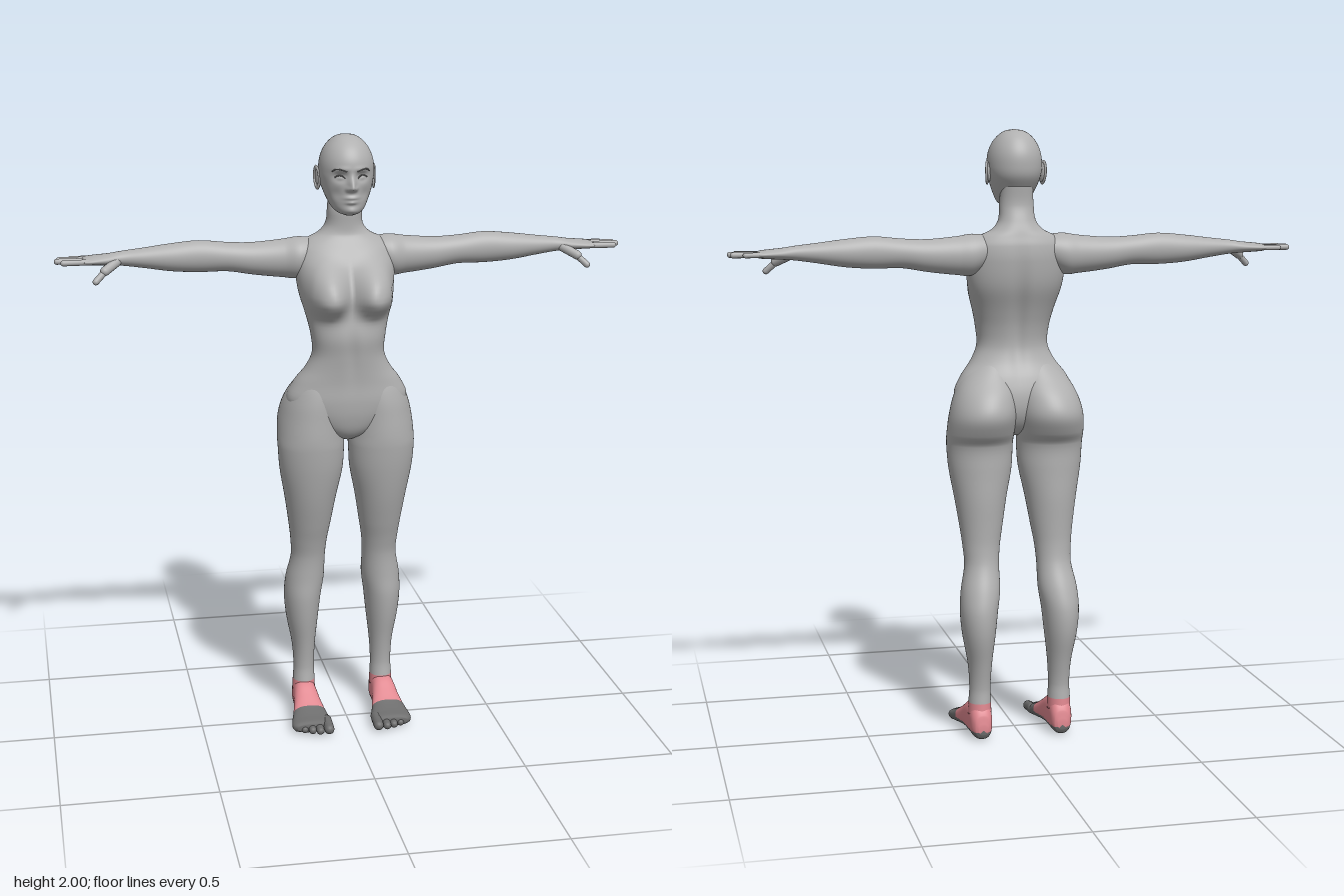
import * as THREE from 'three';

const mat = (name, color) => Object.assign(new THREE.MeshStandardMaterial({ color }), { name });

// Smooth interpolation through the section table
function sample(rows, steps) {
  const out = [];
  const slope = (i, k) => {
    const a = rows[Math.max(i - 1, 0)], b = rows[Math.min(i + 1, rows.length - 1)];
    return (b[k] - a[k]) / (b[0] - a[0]);
  };
  for (let i = 0; i < rows.length - 1; i++) {
    const p = rows[i], q = rows[i + 1], h = q[0] - p[0];
    for (let s = 0; s < steps; s++) {
      const u = s / steps, u2 = u * u, u3 = u2 * u;
      out.push(p.map((v, k) => k === 0 ? v + h * u
        : (2 * u3 - 3 * u2 + 1) * v + (u3 - 2 * u2 + u) * h * slope(i, k)
        + (3 * u2 - 2 * u3) * q[k] + (u3 - u2) * h * slope(i + 1, k)));
    }
  }
  out.push(rows[rows.length - 1]);
  return out;
}

// Loft of rounded sections [t, aMin, aMax, bMin, bMax] along an axis.
// axis x: a = y, b = z; axis y: a = x, b = z; axis z: a = x, b = y
function loft(axis, rows, { seg = 48, steps = 5, n = 2, warp, second } = {}) {
  const rings = sample(rows, steps), pos = [], idx = [], v = new THREE.Vector3();
  const put = (t, a, b) => {
    if (axis === 'x') v.set(t, a, b); else if (axis === 'y') v.set(a, t, b); else v.set(a, b, t);
    if (warp) warp(v);
    pos.push(v.x, v.y, v.z);
  };
  const pw = c => Math.sign(c) * Math.abs(c) ** (2 / n);
  for (const [t, a0, a1, b0, b1] of rings)
    for (let j = 0; j < seg; j++) {
      const g = j / seg * Math.PI * 2;
      put(t, (a0 + a1) / 2 + (a1 - a0) / 2 * pw(Math.cos(g)), (b0 + b1) / 2 + (b1 - b0) / 2 * pw(Math.sin(g)));
    }
  const last = rings.length - 1, c0 = pos.length / 3;
  for (const r of [rings[0], rings[last]]) put(r[0], (r[1] + r[2]) / 2, (r[3] + r[4]) / 2);
  const flip = (axis === 'y') !== (rows[1][0] < rows[0][0]);
  const tri = (a, b, c) => idx.push(flip ? [a, c, b] : [a, b, c]);
  for (let j = 0; j < seg; j++) {
    const k = (j + 1) % seg;
    tri(c0, k, j);
    for (let i = 0; i < last; i++) {
      const p = i * seg;
      tri(p + j, p + k, p + seg + k);
      tri(p + j, p + seg + k, p + seg + j);
    }
    tri(c0 + 1, last * seg + j, last * seg + k);
  }
  const geo = new THREE.BufferGeometry();
  geo.setAttribute('position', new THREE.Float32BufferAttribute(pos, 3));
  if (second) { // faces chosen by the rule take the second material
    const mid = (t, k) => (pos[t[0] * 3 + k] + pos[t[1] * 3 + k] + pos[t[2] * 3 + k]) / 3;
    const isB = t => second(mid(t, 0), mid(t, 1), mid(t, 2));
    const A = idx.filter(t => !isB(t)), B = idx.filter(isB);
    geo.setIndex([...A, ...B].flat());
    geo.addGroup(0, A.length * 3, 0);
    geo.addGroup(A.length * 3, B.length * 3, 1);
  } else geo.setIndex(idx.flat());
  geo.computeVertexNormals();
  return geo;
}

const sym = rows => rows.map(([t, w, b0, b1]) => [t, -w, w, b0, b1]);
const bump = (dx, dy, sx, sy) => Math.exp(-((dx / sx) ** 2) - (dy / sy) ** 2);

function capsule(p, q, r) {
  const a = new THREE.Vector3(...p), d = new THREE.Vector3(...q).sub(a), len = d.length();
  const geo = new THREE.CapsuleGeometry(r, len, 6, 14);
  geo.applyQuaternion(new THREE.Quaternion().setFromUnitVectors(new THREE.Vector3(0, 1, 0), d.clone().normalize()));
  return geo.translate(a.x + d.x / 2, a.y + d.y / 2, a.z + d.z / 2);
}

function mirrored(geo) {
  const g = geo.clone().scale(-1, 1, 1), ix = g.index.array;
  for (let i = 0; i < ix.length; i += 3) [ix[i + 1], ix[i + 2]] = [ix[i + 2], ix[i + 1]];
  return g;
}

export function createModel() {
  const model = new THREE.Group();
  const skin = mat('bodyGrey', 0xb0b0b0), pink = mat('shoePink', 0xe08890), dark = mat('soleGrey', 0x6c6c6c);
  const add = (name, geo, m) => {
    const mesh = new THREE.Mesh(geo, m);
    mesh.name = name;
    model.add(mesh);
    return mesh;
  };
  const pair = (name, geo, m) => { add(name + 'Left', geo, m); add(name + 'Right', mirrored(geo), m); };

  // Torso and neck, with bust and spine groove
  add('torso', loft('y', sym([
    [1.83, .05, -.085, 0], [1.76, .056, -.08, .015], [1.71, .061, -.095, .013], [1.68, .085, -.106, .015],
    [1.66, .125, -.112, .025], [1.63, .153, -.12, .045], [1.58, .162, -.122, .07], [1.5, .156, -.11, .09],
    [1.42, .135, -.08, .115], [1.36, .122, -.062, .125], [1.3, .118, -.055, .118], [1.25, .14, -.066, .112],
    [1.2, .177, -.09, .108], [1.14, .2, -.105, .108], [1.08, .16, -.1, .1], [1.03, .08, -.07, .08],
    [1.005, .02, -.03, .045]]), {
    seg: 112, n: 2.2, warp: v => {
      if (v.z > .01) {
        const dy = v.y - 1.495, d = ((Math.abs(v.x) - .08) / .068) ** 2 + (dy / (dy > 0 ? .085 : .06)) ** 2;
        v.z += .088 * Math.exp(-(d ** 1.4)) * Math.min(1, (v.z - .01) / .04);
        v.z -= .006 * bump(v.x, v.y - 1.31, .02, .09);
      } else if (v.z < -.03) v.z += .014 * bump(v.x, v.y - 1.4, .025, .17);
    },
  }), skin);

  // Head with sculpted face
  const head = add('head', loft('y', sym([
    [2, .001, -.003, .003], [1.996, .026, -.035, .03], [1.982, .05, -.068, .06], [1.955, .072, -.093, .088],
    [1.92, .085, -.108, .104], [1.88, .088, -.11, .104], [1.85, .084, -.104, .101], [1.82, .075, -.085, .1],
    [1.79, .062, -.06, .098], [1.77, .05, -.03, .095], [1.757, .034, 0, .088], [1.75, .015, .03, .07]]), {
    seg: 128, steps: 8, n: 2.1, warp: v => {
      if (v.z < .02) return;
      const x = Math.abs(v.x), y = v.y;
      v.z += .03 * bump(x, y - 1.841, .011, y > 1.841 ? .03 : .01)      // nose
        + .008 * bump(x - .013, y - 1.838, .007, .008)                  // nostrils
        - .015 * bump(x - .035, y - 1.875, .02, .014)                   // eye sockets
        + .009 * bump(x - .035, y - 1.872, .012, .007)                  // eyelids
        + .004 * bump(x - .03, y - 1.899, .025, .008)                   // brow ridge
        + .009 * bump(x, y - 1.809, .02, .006) + .009 * bump(x, y - 1.795, .017, .006) // lips
        + .007 * bump(x, y - 1.768, .02, .011)                          // chin
        - .006 * bump(x - .045, y - 1.82, .018, .02);                   // cheeks
    },
  }), skin);

  // Lash and brow lines laid on the face
  const ray = new THREE.Raycaster();
  const onFace = (x, y) => {
    ray.set(new THREE.Vector3(x, y, 1), new THREE.Vector3(0, 0, -1));
    const hit = ray.intersectObject(head)[0];
    return new THREE.Vector3(x, y, hit ? hit.point.z : .09);
  };
  const line = (name, pts, r) =>
    pair(name, new THREE.TubeGeometry(new THREE.CatmullRomCurve3(pts.map(p => onFace(...p))), 16, r, 6), dark);
  line('brow', [[.016, 1.892], [.032, 1.898], [.048, 1.9], [.06, 1.892]], .0022);
  line('lash', [[.02, 1.87], [.029, 1.878], [.041, 1.879], [.052, 1.873]], .0022);

  // Ears
  const place = (g, rz) => g.rotateX(-.15).rotateY(rz).translate(.088, 1.862, -.016);
  pair('ear', place(new THREE.SphereGeometry(1, 20, 14).scale(.007, .032, .017), -.3), skin);
  pair('earRim', place(new THREE.TorusGeometry(.017, .004, 8, 28).rotateY(Math.PI / 2).scale(1, 1.9, 1).translate(.005, 0, 0), -.3), skin);

  // Arms and palms
  pair('arm', loft('x', [
    [.09, 1.575, 1.662, -.095, 0], [.15, 1.535, 1.668, -.11, .02], [.2, 1.537, 1.661, -.106, .006],
    [.3, 1.549, 1.653, -.1, -.004], [.38, 1.562, 1.656, -.096, -.008], [.47, 1.562, 1.664, -.096, -.013],
    [.56, 1.568, 1.657, -.095, -.014], [.65, 1.582, 1.646, -.088, -.02], [.72, 1.592, 1.638, -.083, -.024],
    [.76, 1.595, 1.632, -.09, -.014], [.81, 1.598, 1.627, -.1, -.004], [.835, 1.601, 1.623, -.099, -.004],
    [.845, 1.608, 1.617, -.09, -.012]]), skin);

  // Fingers, from little to index, and thumb
  [[-.088, -.092, .878], [-.066, -.071, .915], [-.041, -.045, .922], [-.016, -.013, .903]].forEach(([z0, z1, tip], i) =>
    pair('finger' + (i + 1), capsule([.81, 1.612, z0], [tip, 1.612, z1], i ? .0095 : .0085), skin));
  pair('thumbBase', capsule([.735, 1.607, -.033], [.775, 1.585, .003], .015), skin);
  pair('thumb', capsule([.77, 1.588, 0], [.805, 1.555, .018], .0105), skin);

  // Legs with buttocks; the ankle end is a pink cuff
  pair('leg', loft('y', [
    [1.26, .02, .11, -.04, .07], [1.2, .004, .172, -.092, .09], [1.14, .002, .205, -.145, .1],
    [1.08, .002, .222, -.167, .103], [1.02, .006, .228, -.142, .105], [.98, .008, .228, -.113, .103],
    [.9, .013, .222, -.108, .092], [.8, .033, .205, -.108, .07], [.7, .05, .19, -.104, .04],
    [.64, .06, .183, -.104, .02], [.58, .065, .18, -.113, .005], [.5, .066, .195, -.145, 0],
    [.43, .076, .2, -.163, 0], [.35, .085, .193, -.16, -.01], [.25, .096, .175, -.135, -.03],
    [.17, .1, .17, -.12, -.04], [.12, .098, .173, -.122, -.036], [.08, .097, .175, -.125, -.03]],
    { seg: 56, second: (x, y) => y < .12 }), [skin, pink]);

  // Feet: pink upper, dark sole and forefoot
  pair('foot', loft('z', [
    [-.137, .12, .15, .02, .05], [-.13, .108, .162, .006, .085], [-.11, .1, .172, 0, .112],
    [-.07, .097, .176, 0, .122], [-.03, .095, .179, .002, .116], [.01, .089, .184, .004, .092],
    [.05, .08, .193, .002, .068], [.09, .071, .203, 0, .05], [.115, .07, .203, 0, .042], [.13, .08, .188, .006, .034]],
    { n: 2.5, second: (x, y, z) => y < .028 || z > .05 }), [pink, dark]);
  [[.085, .147, .017], [.115, .146, .0135], [.14, .137, .013], [.165, .124, .0125], [.188, .108, .012]].forEach(([x, z, r], i) =>
    pair('toe' + (i + 1), capsule([x, r + .012, .09], [x, r + .003, z], r), dark));

  return model;
}
